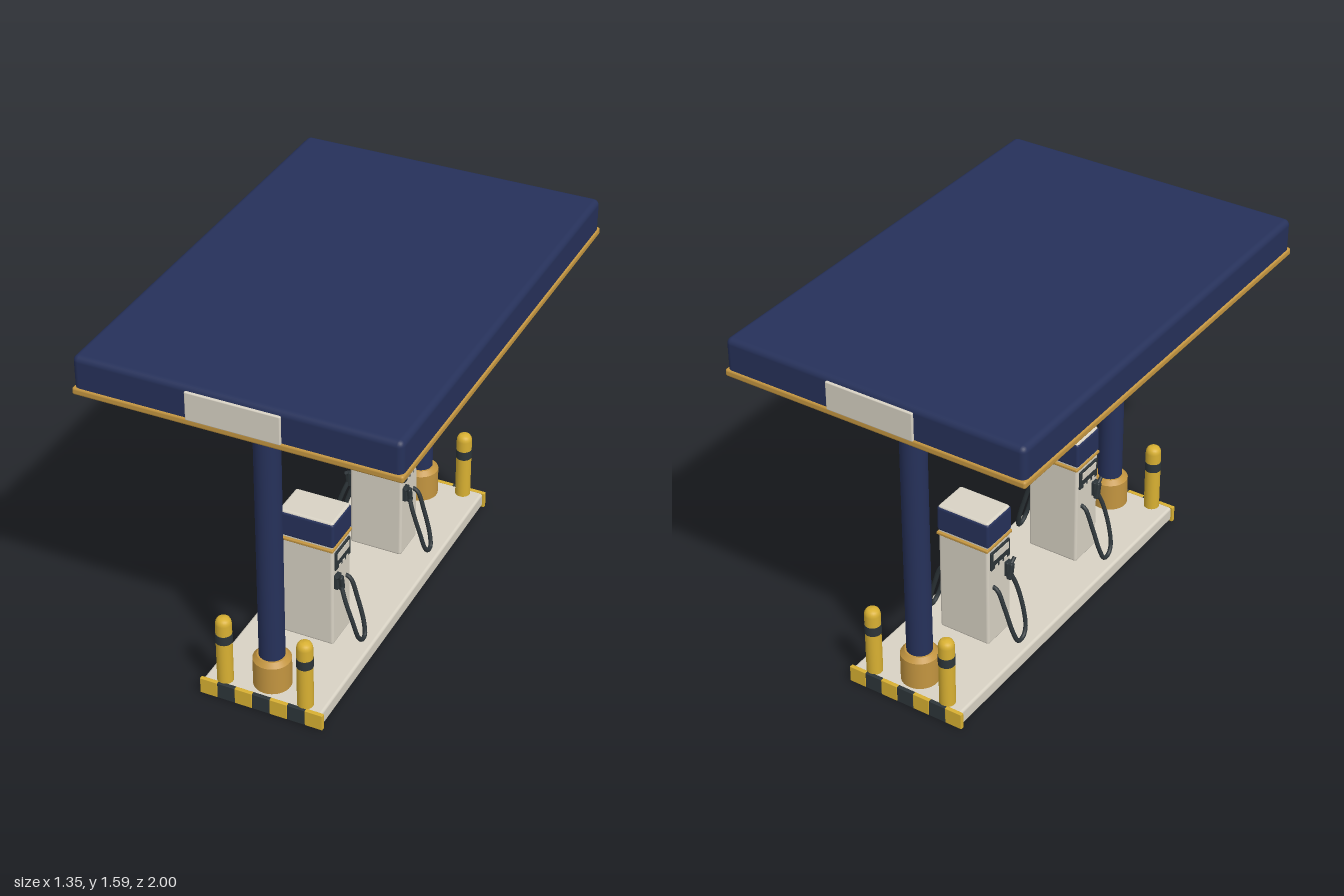
import * as THREE from 'three';
import { RoundedBoxGeometry } from 'three/addons/geometries/RoundedBoxGeometry.js';

const material = (name, color) => {
  const m = new THREE.MeshStandardMaterial({ color });
  m.name = name;
  return m;
};

export function createModel() {
  const navy = material('navy', 0x26315a);
  const cream = material('cream', 0xd8d2c4);
  const gold = material('gold', 0xc39540);
  const yellow = material('yellow', 0xd8b032);
  const dark = material('charcoal', 0x2d3539);

  const root = new THREE.Group();
  root.name = 'fuelStation';

  const add = (parent, name, geometry, mat, x = 0, y = 0, z = 0) => {
    const mesh = new THREE.Mesh(geometry, mat);
    mesh.name = name;
    mesh.position.set(x, y, z);
    parent.add(mesh);
    return mesh;
  };
  // Box given by size, bottom and top heights; r rounds its edges
  const block = (parent, name, mat, w, d, y0, y1, x = 0, z = 0, r = 0) => add(parent, name,
    r ? new RoundedBoxGeometry(w, y1 - y0, d, 3, r) : new THREE.BoxGeometry(w, y1 - y0, d),
    mat, x, (y0 + y1) / 2, z);
  const group = (name, parent = root) => {
    const g = new THREE.Group();
    g.name = name;
    parent.add(g);
    return g;
  };

  // Canopy with trim, soffit, lamps and end panels
  const canopy = group('canopy');
  block(canopy, 'canopyRoof', navy, 1.342, 1.98, 1.43, 1.59, 0, 0, 0.025);
  block(canopy, 'canopyTrim', gold, 1.354, 1.992, 1.422, 1.454, 0, 0, 0.01);
  block(canopy, 'soffit', cream, 1.31, 1.95, 1.419, 1.43);
  for (const s of [1, -1]) {
    block(canopy, 'endPanel', cream, 0.39, 0.014, 1.448, 1.571, 0, s * 0.993, 0.005);
    for (const t of [1, -1])
      block(canopy, 'soffitLamp', cream, 0.28, 0.1, 1.414, 1.42, t * 0.28, s * 0.475);
  }

  // Raised island with striped ends
  const island = group('island');
  block(island, 'islandSlab', cream, 0.53, 1.67, 0.004, 0.072, 0, 0, 0.012);
  const stripe = 0.55 / 7;
  for (const s of [1, -1])
    for (let i = 0; i < 7; i++)
      block(island, 'warningStripe', i % 2 ? dark : yellow, stripe, 0.018, 0, 0.075,
        (i - 3) * stripe, s * 0.834, 0.003);

  // Columns with chamfered sleeves
  const sleeve = [[0, 0.07], [0.08, 0.07], [0.08, 0.07], [0.08, 0.2], [0.08, 0.2],
    [0.062, 0.22], [0.062, 0.22], [0.05, 0.22]].map(p => new THREE.Vector2(...p));
  // Bollard profile with a domed top
  const dome = [[0, 0.07], [0.034, 0.07], [0.034, 0.07], [0.034, 0.36], [0.032, 0.372],
    [0.027, 0.382], [0.018, 0.389], [0, 0.391]].map(p => new THREE.Vector2(...p));
  for (const s of [1, -1]) {
    const end = group(s > 0 ? 'frontSupport' : 'backSupport');
    add(end, 'column', new THREE.CylinderGeometry(0.054, 0.054, 1.36, 32), navy, 0, 0.74, s * 0.732);
    add(end, 'columnSleeve', new THREE.LatheGeometry(sleeve, 32), gold, 0, 0, s * 0.732);
    for (const t of [1, -1]) {
      add(end, 'bollard', new THREE.LatheGeometry(dome, 24), yellow, t * 0.18, 0, s * 0.799);
      add(end, 'bollardBand', new THREE.CylinderGeometry(0.0355, 0.0355, 0.042, 24), dark,
        t * 0.18, 0.291, s * 0.799);
    }
  }

  // Controls, nozzle and hose on one side of a pump (s = +1 left, -1 right)
  const pumpSide = (pump, s) => {
    const side = group(s > 0 ? 'leftControls' : 'rightControls', pump);
    block(side, 'controlPanel', dark, 0.014, 0.136, 0.447, 0.535, s * 0.122, 0, 0.004);
    block(side, 'display', cream, 0.006, 0.108, 0.493, 0.525, s * 0.1285, 0);
    for (const z of [-0.033, 0, 0.033])
      block(side, 'panelButton', cream, 0.006, 0.018, 0.447, 0.464, s * 0.1285, z);

    block(side, 'nozzleHolster', dark, 0.022, 0.036, 0.355, 0.425, s * 0.128, 0.054, 0.005);
    const grip = block(side, 'nozzleGrip', dark, 0.022, 0.026, 0.345, 0.42, s * 0.143, 0.05, 0.007);
    grip.rotation.x = 0.2;
    const spout = add(side, 'nozzleSpout', new THREE.CylinderGeometry(0.008, 0.009, 0.04, 12), dark,
      s * 0.14, 0.42, 0.068);
    spout.rotation.x = 0.9;

    const path = [[0.143, 0.37, 0.05], [0.165, 0.31, 0.062], [0.2, 0.2, 0.06], [0.218, 0.12, 0.046],
      [0.222, 0.09, 0.018], [0.22, 0.092, -0.012], [0.208, 0.14, -0.03], [0.175, 0.25, -0.039],
      [0.14, 0.34, -0.043], [0.115, 0.352, -0.043]];
    const curve = new THREE.CatmullRomCurve3(path.map(([x, y, z]) => new THREE.Vector3(s * x, y, z)));
    add(side, 'hose', new THREE.TubeGeometry(curve, 60, 0.0095, 10), dark);
  };

  // Pumps
  for (const z of [0.339, -0.335]) {
    const pump = group(z > 0 ? 'frontPump' : 'backPump');
    pump.position.z = z;
    block(pump, 'pumpBody', cream, 0.242, 0.166, 0.07, 0.56, 0, 0, 0.012);
    block(pump, 'pumpTrim', gold, 0.25, 0.184, 0.549, 0.562, 0, 0, 0.004);
    block(pump, 'pumpNeck', cream, 0.236, 0.16, 0.555, 0.58);
    block(pump, 'pumpHead', navy, 0.252, 0.172, 0.567, 0.684, 0, 0, 0.012);
    block(pump, 'pumpCap', cream, 0.244, 0.164, 0.66, 0.69, 0, 0, 0.011);
    pumpSide(pump, 1);
    pumpSide(pump, -1);
  }

  return root;
}
